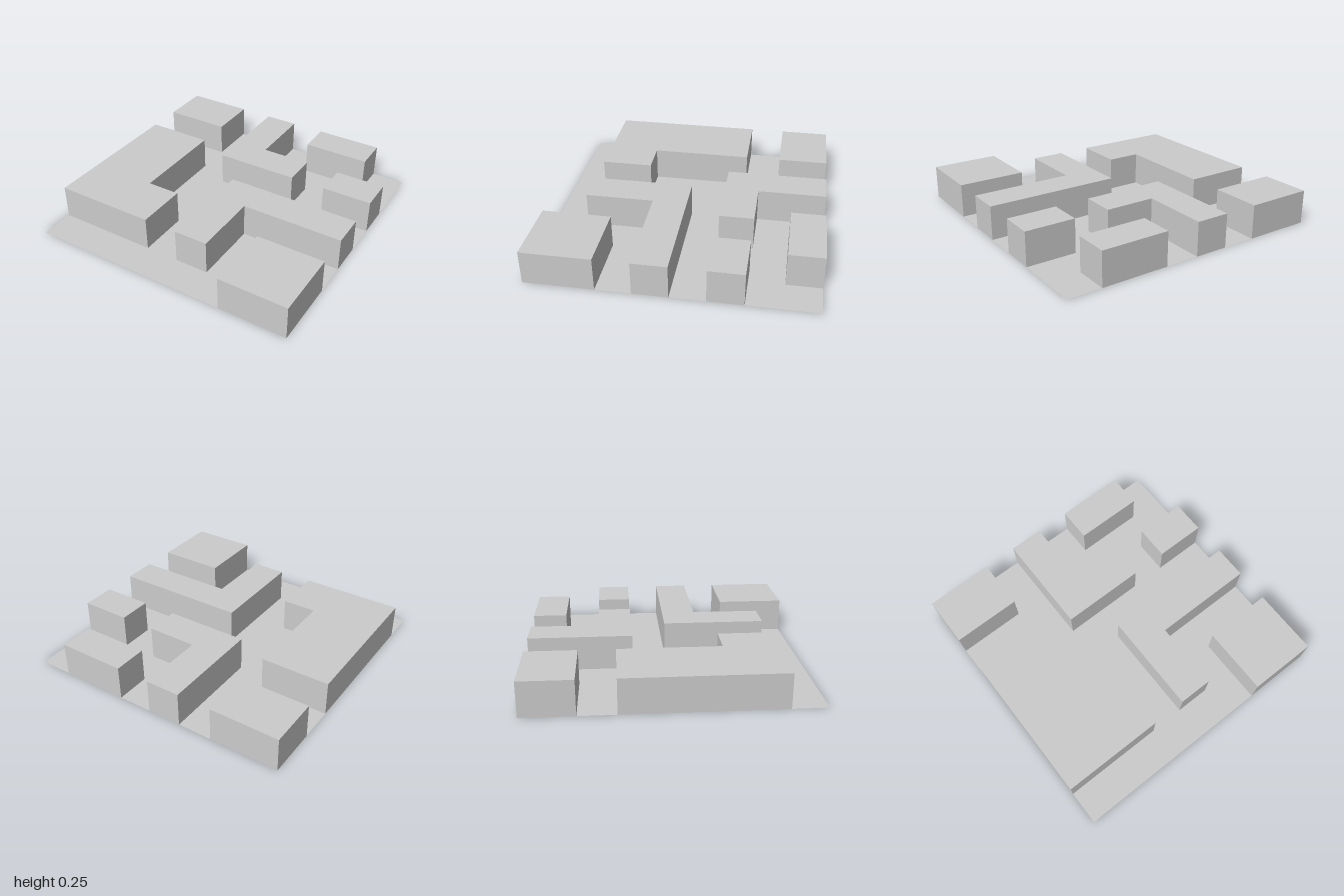
import * as THREE from 'three';
import { mergeGeometries } from 'three/addons/utils/BufferGeometryUtils.js';

const HEIGHT = 0.25;

// Footprints as [x, z], each running from the point where it leaves the
// tile's edge to where it rejoins it, in order around the tile.
// "corner" is the tile corner a block covers.
const blocks = [
  { name: 'backRightCornerBlock', corner: [-1, -1],
    path: [[-1, -0.63], [-0.5, -0.63], [-0.5, -1]] },
  { name: 'backAngledBlock',
    path: [[-0.25, -1], [-0.25, -0.25], [0.37, -0.25], [0.37, -0.5], [0, -0.5], [0, -1]] },
  { name: 'backBlock',
    path: [[0.25, -1], [0.25, -0.75], [0.75, -0.75], [0.75, -1]] },
  { name: 'bareBackCorner', path: [[1, -1]] },
  { name: 'sideBlock',
    path: [[1, -0.5], [0.63, -0.5], [0.63, -0.25], [1, -0.25]] },
  { name: 'sideAngledBlock',
    path: [[1, 0], [0, 0], [0, 0.75], [0.25, 0.75], [0.25, 0.25], [1, 0.25]] },
  { name: 'frontCornerBlock', corner: [1, 1],
    path: [[1, 0.5], [0.5, 0.5], [0.5, 1]] },
  { name: 'bareFrontCorner', path: [[-1, 1]] },
  { name: 'largeAngledBlock',
    path: [[-1, 0.75], [-0.25, 0.75], [-0.25, 0.37], [-0.5, 0.37], [-0.5, -0.37], [-1, -0.37]] },
];

const toPlan = (points) => points.map(([x, z]) => new THREE.Vector2(x, -z));

// Flat horizontal surface facing up
function slab(plan, y) {
  return new THREE.ShapeGeometry(new THREE.Shape(plan)).rotateX(-Math.PI / 2).translate(0, y, 0);
}

// Roof and outward-facing walls, open underneath
function shell(points) {
  const plan = toPlan(points);
  if (THREE.ShapeUtils.isClockWise(plan)) plan.reverse();
  const parts = [slab(plan, HEIGHT)];
  plan.forEach((a, i) => {
    const b = plan[(i + 1) % plan.length];
    parts.push(new THREE.PlaneGeometry(a.distanceTo(b), HEIGHT)
      .rotateY(Math.atan2(b.y - a.y, b.x - a.x))
      .translate((a.x + b.x) / 2, HEIGHT / 2, -(a.y + b.y) / 2));
  });
  return mergeGeometries(parts);
}

export function createModel() {
  const model = new THREE.Group();
  model.name = 'cityBlockTile';
  const material = new THREE.MeshStandardMaterial({ color: 0xcccccc, side: THREE.DoubleSide });
  const add = (name, geometry) => {
    const mesh = new THREE.Mesh(geometry, material);
    mesh.name = name;
    model.add(mesh);
  };

  // Street floor, cut away beneath every block
  add('streetFloor', slab(toPlan(blocks.flatMap((b) => b.path)), 0));

  // Raised blocks
  for (const { name, path, corner } of blocks) {
    if (path.length > 1) add(name, shell(corner ? [...path, corner] : path));
  }
  return model;
}
